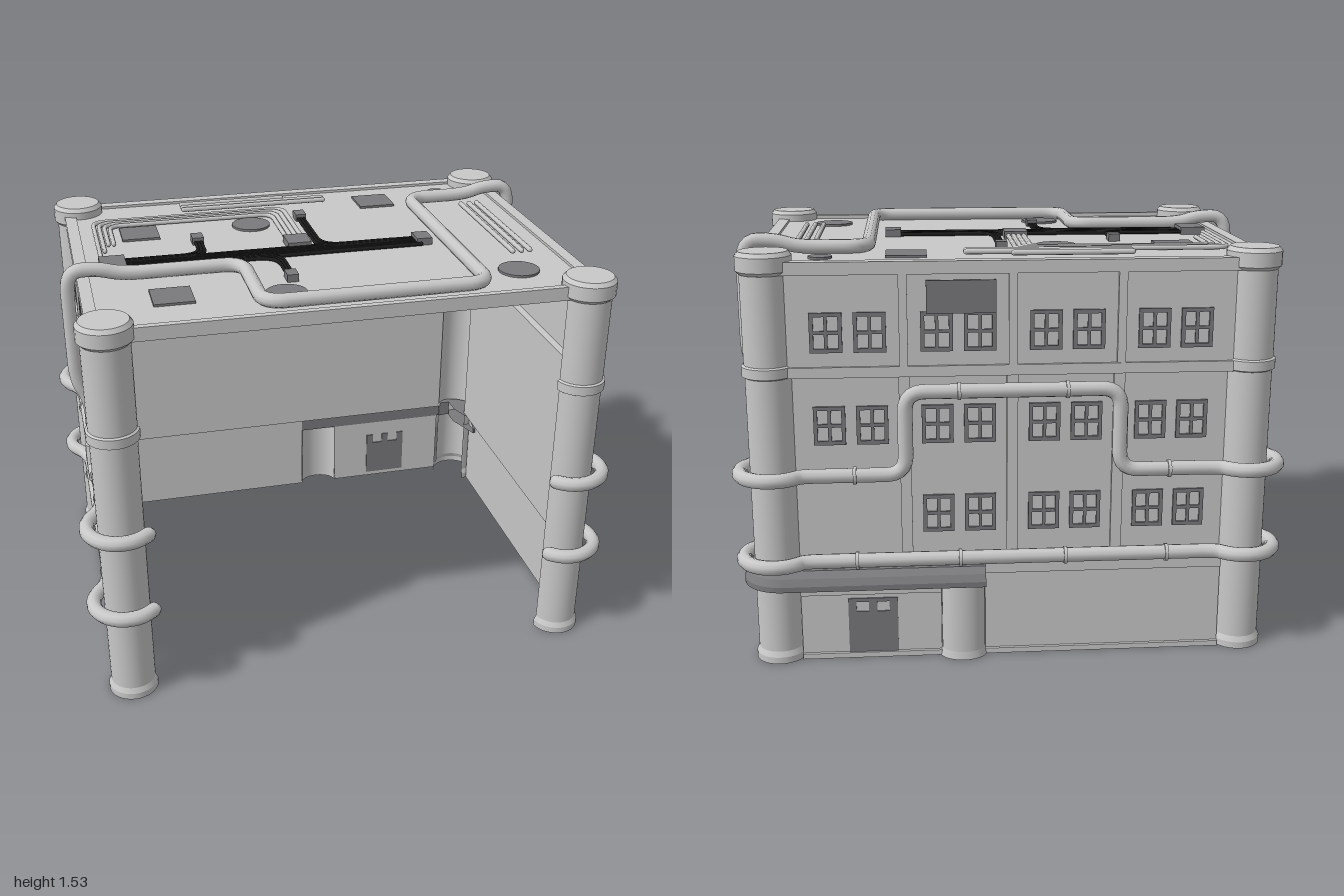
import * as THREE from 'three';

const mat = (name, color, side = THREE.FrontSide) => {
  const m = new THREE.MeshStandardMaterial({ color, side });
  m.name = name;
  return m;
};

export function createModel() {
  const stone = mat('light grey', 0xc8c8c8, THREE.DoubleSide);
  const dark = mat('dark grey', 0x7a7a7d, THREE.DoubleSide);
  const black = mat('cable black', 0x1c1c1c);
  const model = new THREE.Group();
  model.name = 'building';

  const add = (parent, name, geo, m, x = 0, y = 0, z = 0) => {
    const mesh = new THREE.Mesh(geo, m);
    mesh.name = name;
    mesh.position.set(x, y, z);
    parent.add(mesh);
    return mesh;
  };
  const box = (parent, name, m, w, h, d, x, y, z) =>
    add(parent, name, new THREE.BoxGeometry(w, h, d), m, x, y, z);

  // Tube along straight runs with rounded bends
  const pipe = (name, pts, r, bend, m = stone, sides = 10) => {
    const v = pts.map(p => new THREE.Vector3(...p));
    const path = new THREE.CurvePath();
    let from = v[0];
    for (let i = 1; i < v.length - 1; i++) {
      const near = (o) => {
        const d = v[i].distanceTo(o);
        return v[i].clone().lerp(o, Math.min(bend, d * 0.49) / d);
      };
      const a = near(v[i - 1]), b = near(v[i + 1]);
      path.add(new THREE.LineCurve3(from, a));
      path.add(new THREE.QuadraticBezierCurve3(a, v[i], b));
      from = b;
    }
    path.add(new THREE.LineCurve3(from, v[v.length - 1]));
    const n = Math.max(4, Math.ceil(path.getLength() / 0.018));
    add(model, name, new THREE.TubeGeometry(path, n, r, sides), m);
    for (const e of [v[0], v[v.length - 1]])
      add(model, name + 'End', new THREE.SphereGeometry(r, 8, 6), m, e.x, e.y, e.z);
  };

  // Turned part, left open over an angle gap opposite to (sx, sz);
  // doubled points keep the profile edges sharp
  const turned = (pts, sx, sz, gap) => new THREE.LatheGeometry(
    pts.flatMap(p => [new THREE.Vector2(...p), new THREE.Vector2(p[0], p[1] + 1e-5)]),
    24, Math.atan2(-sx, -sz) + gap / 2, Math.PI * 2 - gap);

  // Corner columns: shells with base and storey ring, closed caps
  const CX = 0.85, CZ = 0.62;
  const shaft = [[0.092, 0], [0.092, 0.025], [0.083, 0.045], [0.083, 1.06], [0.093, 1.065],
    [0.093, 1.1], [0.085, 1.105], [0.085, 1.42]];
  const cap = [[0, 1.42], [0.085, 1.42], [0.097, 1.432], [0.097, 1.483], [0.085, 1.498], [0, 1.498]];
  for (const sx of [-1, 1]) for (const sz of [-1, 1]) {
    add(model, 'cornerColumn', turned(shaft, sx, sz, 1.9), stone, sx * CX, 0, sz * CZ);
    add(model, 'columnCap', turned(cap, sx, sz, 0), stone, sx * CX, 0, sz * CZ);
  }

  // One wall face: u runs along the wall, local +z points outward;
  // the middle storeys are set back behind the base and the top storey
  const LOW = 0.028, TOP = 0.03;
  const sheet = (g, name, u0, u1, y0, y1, out) =>
    add(g, name, new THREE.PlaneGeometry(u1 - u0, y1 - y0), stone, (u0 + u1) / 2, (y0 + y1) / 2, out);
  const face = (name, angle, dist, half, lower) => {
    const g = new THREE.Group();
    g.name = name;
    g.rotation.y = angle;
    g.position.set(Math.sin(angle) * dist, 0, Math.cos(angle) * dist);
    model.add(g);
    const width = half * 2 + 0.02;
    sheet(g, 'middleWall', -half, half, 0.36, 1.08, 0);
    sheet(g, 'upperWall', -half - 0.01, half + 0.01, 1.08, 1.44, TOP);
    box(g, 'baseLedge', stone, width, 0.01, LOW + 0.012, 0, 0.357, LOW / 2 + 0.006);
    box(g, 'cornice', stone, width, 0.038, 0.04, 0, 1.08, 0.02);
    box(g, 'parapet', stone, width + 0.03, 0.045, 0.045, 0, 1.4425, 0.0225);
    for (const [u0, u1, y1] of lower) {
      sheet(g, 'lowerWall', u0, u1, 0, y1, LOW);
      box(g, 'baseRail', stone, u1 - u0, 0.02, 0.012, (u0 + u1) / 2, 0.01, LOW + 0.006);
      box(g, 'lowerRail', stone, u1 - u0, 0.04, 0.012, (u0 + u1) / 2, y1 - 0.02, LOW + 0.006);
    }
    return g;
  };
  const strip = (g, u, y0, y1, out, w = 0.04) =>
    box(g, 'pilaster', stone, w, y1 - y0, 0.012, u, (y0 + y1) / 2, out + 0.006);
  const win = (g, u, y, out = 0) => {
    const w = new THREE.Group();
    w.name = 'window';
    w.position.set(u, y, out + 0.0045);
    g.add(w);
    for (const s of [-1, 1]) {
      box(w, 'frameSide', dark, 0.014, 0.14, 0.008, s * 0.049, 0, 0);
      box(w, 'frameRail', dark, 0.112, 0.014, 0.008, 0, s * 0.063, 0);
    }
    box(w, 'mullion', dark, 0.012, 0.13, 0.006, 0, 0, 0);
    box(w, 'crossbar', dark, 0.1, 0.012, 0.006, 0, 0, 0);
  };

  // Side walls: three bays; the +x side carries a large panel on top
  for (const s of [1, -1]) {
    const g = face(s > 0 ? 'leftWall' : 'rightWall', s * Math.PI / 2, 0.863, 0.54, [[-0.54, 0.54, 0.36]]);
    for (const u of [-0.178, 0.178]) {
      strip(g, u, 0.02, 0.35, LOW);
      strip(g, u, 0.36, 1.06, 0);
      if (s < 0) strip(g, u, 1.1, 1.42, TOP, 0.03);
    }
    for (const u of [-0.35, 0, 0.35]) {
      win(g, u, 0.88);
      win(g, u, 0.545);
      if (s < 0) win(g, u, 1.24, TOP);
    }
    for (const u of [-0.525, 0.525]) {
      strip(g, u, 0.02, 0.35, LOW, 0.03);
      strip(g, u, 0.36, 1.06, 0, 0.03);
    }
    if (s > 0) box(g, 'largePanel', dark, 0.445, 0.32, 0.009, 0, 1.26, TOP + 0.005);
  }

  // Back wall: four bays of paired windows, sign panel and door
  const back = face('backWall', Math.PI, 0.64, 0.77, [[-0.1, 0.77, 0.36], [-0.77, -0.26, 0.29]]);
  for (const u of [-0.38, 0, 0.38]) {
    strip(back, u, 0.36, 1.06, 0);
    strip(back, u, 1.1, 1.42, TOP, 0.03);
  }
  [-0.57, -0.19, 0.19, 0.57].forEach((u, i) => {
    for (const d of [-0.075, 0.075]) {
      win(back, u + d, 1.22, TOP);
      win(back, u + d, 0.88);
      if (i > 0) win(back, u + d, 0.545);
    }
  });
  box(back, 'signPanel', dark, 0.24, 0.115, 0.009, -0.18, 1.342, TOP + 0.015);
  box(back, 'door', dark, 0.18, 0.16, 0.009, -0.51, 0.1, LOW);
  for (const s of [-1, 0, 1]) box(back, 'doorPost', dark, 0.03, 0.045, 0.009, -0.51 + s * 0.075, 0.2, LOW);
  box(back, 'doorHeader', dark, 0.18, 0.014, 0.005, -0.51, 0.225, LOW + 0.003);

  // Half-round porch column, open to the inside
  const half = (name, r0, r1, h, y) => add(model, name, new THREE.CylinderGeometry(
    r0, r1, h, 14, 1, true, Math.PI / 2, Math.PI), stone, 0.18, y, -0.665).scale.z = 0.75;
  half('porchColumn', 0.079, 0.079, 0.3, 0.15);
  half('porchColumnBase', 0.08, 0.086, 0.03, 0.015);

  // Awning over the door, wrapping the corner column
  const awningProfile = [[0, 0.29], [0.147, 0.29], [0.147, 0.31], [0.132, 0.335], [0.105, 0.355], [0, 0.355]];
  const cut = awningProfile.map(([r, y]) => new THREE.Vector2(Math.max(r - 0.075, 0), y));
  add(model, 'awning', new THREE.ExtrudeGeometry(new THREE.Shape(cut), { depth: 0.73, bevelEnabled: false }),
    dark, 0.1, 0, -0.665).rotation.y = Math.PI / 2;
  add(model, 'awningCorner', turned(awningProfile, 0.985, -0.174, 3.49), dark, 0.828, 0, -0.59);

  // Roof slab and front edge
  const R = 1.455;
  box(model, 'roof', stone, 1.76, 0.03, 1.29, 0, R - 0.015, -0.005);
  box(model, 'roofFrontEdge', stone, 1.76, 0.05, 0.025, 0, 1.445, 0.637);

  // Ring pipes wrapping walls and columns
  const SX = 0.9, BZ = -0.69;
  const arc = (cz, a0, a1, y) => Array.from({ length: 13 }, (_, i) => {
    const a = (a0 + (a1 - a0) * i / 12) * Math.PI / 180;
    return [CX + 0.121 * Math.cos(a), y, cz + 0.121 * Math.sin(a)];
  });
  const clip = (x, y, z, alongX) => {
    const c = add(model, 'pipeClip', new THREE.CylinderGeometry(0.032, 0.032, 0.012, 12), stone, x, y, z);
    if (alongX) c.rotation.z = Math.PI / 2; else c.rotation.x = Math.PI / 2;
  };
  for (const y of [0.388, 0.71]) {
    const side = [...arc(CZ, 137, -50, y), [SX, y, 0.46], [SX, y, -0.46], ...arc(-CZ, 50, -145, y)];
    const jog = y < 0.5 ? [] : [[0.38, y], [0.38, 1.01], [-0.38, 1.01], [-0.38, y]].map(p => [...p, BZ]);
    const other = side.map(p => [-p[0], p[1], p[2]]).reverse();
    pipe('ringPipe', [...side, ...jog, ...other], 0.027, 0.07);
    for (const s of [-1, 1]) {
      for (const z of [0.42, 0.05, -0.32]) clip(s * SX, y, z, false);
      clip(s * 0.56, y, BZ, true);
    }
    for (const x of [-0.19, 0.19]) clip(x, y < 0.5 ? y : 1.01, BZ, true);
  }

  // Long pipe that climbs one side, crosses the roof and drops down the other
  const ry = R + 0.025;
  pipe('roofPipe', [[SX, 0.72, -0.415], [SX, 1.0, -0.415], [0.945, 1.08, -0.415], [0.945, 1.506, -0.415],
    [0.83, 1.506, -0.415], [0.75, ry, -0.415], [0.5, ry, -0.415], [0.5, ry, 0.56], [-0.31, ry, 0.56],
    [-0.31, ry, 0.18], [-0.75, ry, 0.18], [-0.83, 1.506, 0.18], [-0.945, 1.506, 0.18], [-0.945, 1.08, 0.18],
    [-SX, 1.0, 0.18], [-SX, 0.72, 0.18]], 0.026, 0.08);
  for (const [x, z] of [[SX, -0.415], [-SX, 0.18]]) {
    add(model, 'pipeJointSleeve', new THREE.CylinderGeometry(0.034, 0.034, 0.1, 14), stone, x, 0.76, z);
    add(model, 'pipeJoint', new THREE.CylinderGeometry(0.034, 0.034, 0.17, 14), stone, x, 0.71, z).rotation.x = Math.PI / 2;
  }

  // Thin roof pipes
  for (let i = 0; i < 4; i++) {
    const o = i * 0.02, y = R + 0.012;
    pipe('thinPipe', [[-0.805 + o, y, [-0.03, -0.1, -0.17, -0.17][i]], [-0.805 + o, y, -0.44 + o],
      [-0.03 - o, y, -0.44 + o], [-0.03 - o, y, -0.06]], 0.009, 0.05, stone, 8);
  }
  [[-0.565, -0.01], [-0.53, 0.155], [-0.5, 0.155]].forEach(([z, x]) =>
    pipe('roofRail', [[-0.43, R + 0.018, z], [x, R + 0.018, z]], 0.01, 0, stone, 8));
  for (const x of [0.7, 0.735, 0.768])
    pipe('roofRail', [[x, R + 0.018, -0.31], [x, R + 0.018, 0.27]], 0.01, 0, stone, 8);

  // Black cable bundle with branches and junction boxes
  for (let i = 0; i < 6; i++) {
    const z = 0.018 + i * 0.014;
    pipe('mainCable', [[-0.74, R + 0.008, z], [0.4, R + 0.008, z]], 0.008, 0, black, 6);
  }
  for (let i = 0; i < 3; i++) {
    const o = (i - 1) * 0.011, y = R + 0.01;
    pipe('cableBranch', [[-0.72, y, 0.018 + o], [-0.428 + o, y, 0.018 + o], [-0.428 + o, y, -0.14]], 0.007, 0.07, black, 6);
    pipe('cableBranch', [[0.3, y, 0.03 - o], [0.017 + o, y, 0.03 - o], [0.017 + o, y, -0.32]], 0.007, 0.08, black, 6);
    pipe('cableBranch', [[-0.7, y, 0.095 - o], [-0.158 + o, y, 0.095 - o], [-0.158 + o, y, 0.3]], 0.007, 0.08, black, 6);
  }
  for (const [x, z, w, d] of [[-0.77, 0.055, 0.095, 0.12], [0.415, 0.045, 0.06, 0.08], [-0.428, -0.15, 0.044, 0.06],
    [0.017, -0.33, 0.042, 0.06], [-0.158, 0.31, 0.042, 0.06], [-0.06, -0.03, 0.09, 0.1]])
    box(model, 'junctionBox', dark, w, 0.03, d, x, R + 0.013, z);

  // Roof hatches and round vents
  for (const [x, z] of [[-0.635, -0.29], [0.365, -0.47], [-0.597, 0.382]])
    box(model, 'roofHatch', dark, 0.145, 0.009, 0.145, x, R + 0.004, z);
  for (const [x, z, r] of [[-0.19, -0.295, 0.075], [-0.205, 0.445, 0.075], [0.665, 0.42, 0.075], [0.665, -0.525, 0.042]])
    add(model, 'roofVent', new THREE.CylinderGeometry(r, r, 0.009, 28), dark, x, R + 0.004, z);

  return model;
}
